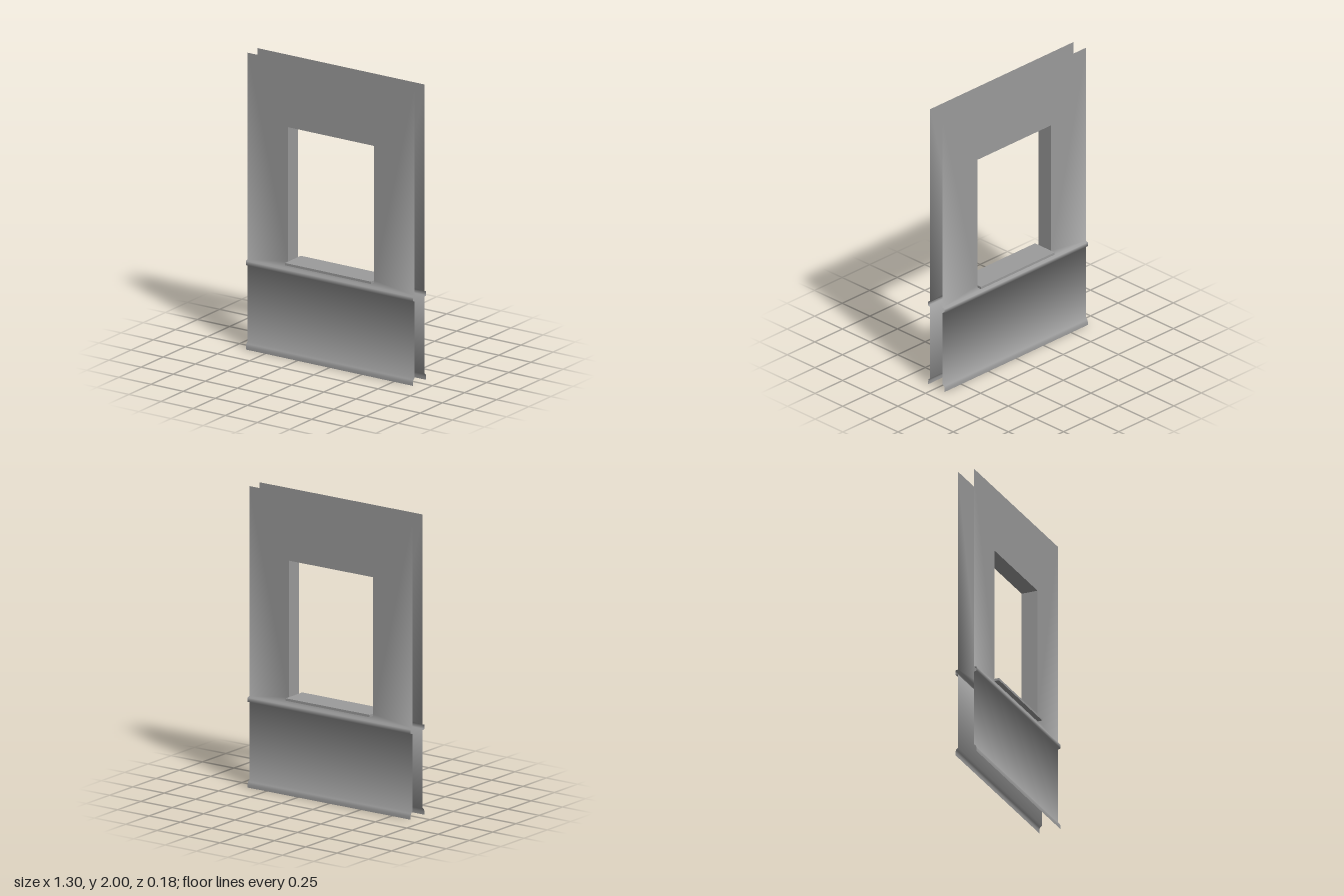
import * as THREE from 'three';

const W = 0.65, H = 2, Z = 0.056, OUT = 0.075;      // half width, height, skin plane, trim plane
const OX = 0.335, OY0 = 0.648, OY1 = 1.556;         // window opening
const SILL = 0.089, SILL_H = 0.016;

const material = new THREE.MeshStandardMaterial({ color: 0x9b9b9b, side: THREE.DoubleSide });

function mesh(name, geometry) {
  const m = new THREE.Mesh(geometry, material);
  m.name = name;
  return m;
}

// One wall face: framed opening above, chair rail, lower panel and skirting below
function skinGeometry() {
  const profile = [
    [0.603, Z], [0.598, OUT], [0.57, OUT], [0.566, Z],            // chair rail
    [0.05, Z], [0.038, 0.07], [0.02, OUT], [0, OUT],              // skirting
  ];
  const pos = [
    -W, H, Z, W, H, Z,                                            // 0, 1 top corners
    -OX, OY1, Z, OX, OY1, Z, -OX, OY0, Z, OX, OY0, Z,             // 2..5 opening corners
  ];
  const normals = [];
  for (let i = 0; i < 6; i++) normals.push(0, 0, 1);

  // Profile points, each shaded by the even average of the two bands it joins
  const bands = profile.slice(1).map(([y, z], i) =>
    new THREE.Vector3(0, z - profile[i][1], profile[i][0] - y).normalize());
  const wall = new THREE.Vector3(0, 0, 1);
  profile.forEach(([y, z], i) => {
    const n = (bands[i - 1] ?? wall).clone().add(bands[i] ?? bands[i - 1]).normalize();
    for (const x of [-W, W]) {
      pos.push(x, y, z);
      normals.push(n.x, n.y, n.z);
    }
  });

  const index = [
    0, 2, 3, 0, 3, 1,     // above opening
    0, 6, 4, 0, 4, 2,     // left of opening
    1, 5, 7, 1, 3, 5,     // right of opening
    4, 6, 7, 4, 7, 5,     // below opening
  ];
  for (let i = 0; i < profile.length - 1; i++) {
    const a = 6 + i * 2;
    index.push(a, a + 2, a + 3, a, a + 3, a + 1);
  }
  const g = new THREE.BufferGeometry();
  g.setAttribute('position', new THREE.Float32BufferAttribute(pos, 3));
  g.setAttribute('normal', new THREE.Float32BufferAttribute(normals, 3));
  g.setIndex(index);
  return g;
}

export function createModel() {
  const group = new THREE.Group();
  group.name = 'windowWall';

  // Front and back faces with their projecting sill lips
  const skin = skinGeometry();
  const lip = new THREE.BoxGeometry(OX * 2, SILL_H, SILL - Z);
  for (const [side, angle] of [['front', 0], ['back', Math.PI]]) {
    const face = new THREE.Group();
    face.name = side + 'Face';
    const sill = mesh(side + 'SillLip', lip);
    sill.position.set(0, OY0 - SILL_H / 2, (SILL + Z) / 2);
    face.add(mesh(side + 'WallSkin', skin), sill);
    face.rotation.y = angle;
    group.add(face);
  }

  // Reveal lining the opening, each plane facing inwards
  const midY = (OY0 + OY1) / 2;
  for (const s of [-1, 1]) {
    const jamb = mesh(s < 0 ? 'rightJamb' : 'leftJamb', new THREE.PlaneGeometry(Z * 2, OY1 - OY0));
    jamb.rotation.y = -s * Math.PI / 2;
    jamb.position.set(s * OX, midY, 0);
    const level = mesh(s < 0 ? 'sillTop' : 'windowHead', new THREE.PlaneGeometry(OX * 2, Z * 2));
    level.rotation.x = s * Math.PI / 2;
    level.position.y = s < 0 ? OY0 : OY1;
    group.add(jamb, level);
  }
  return group;
}
